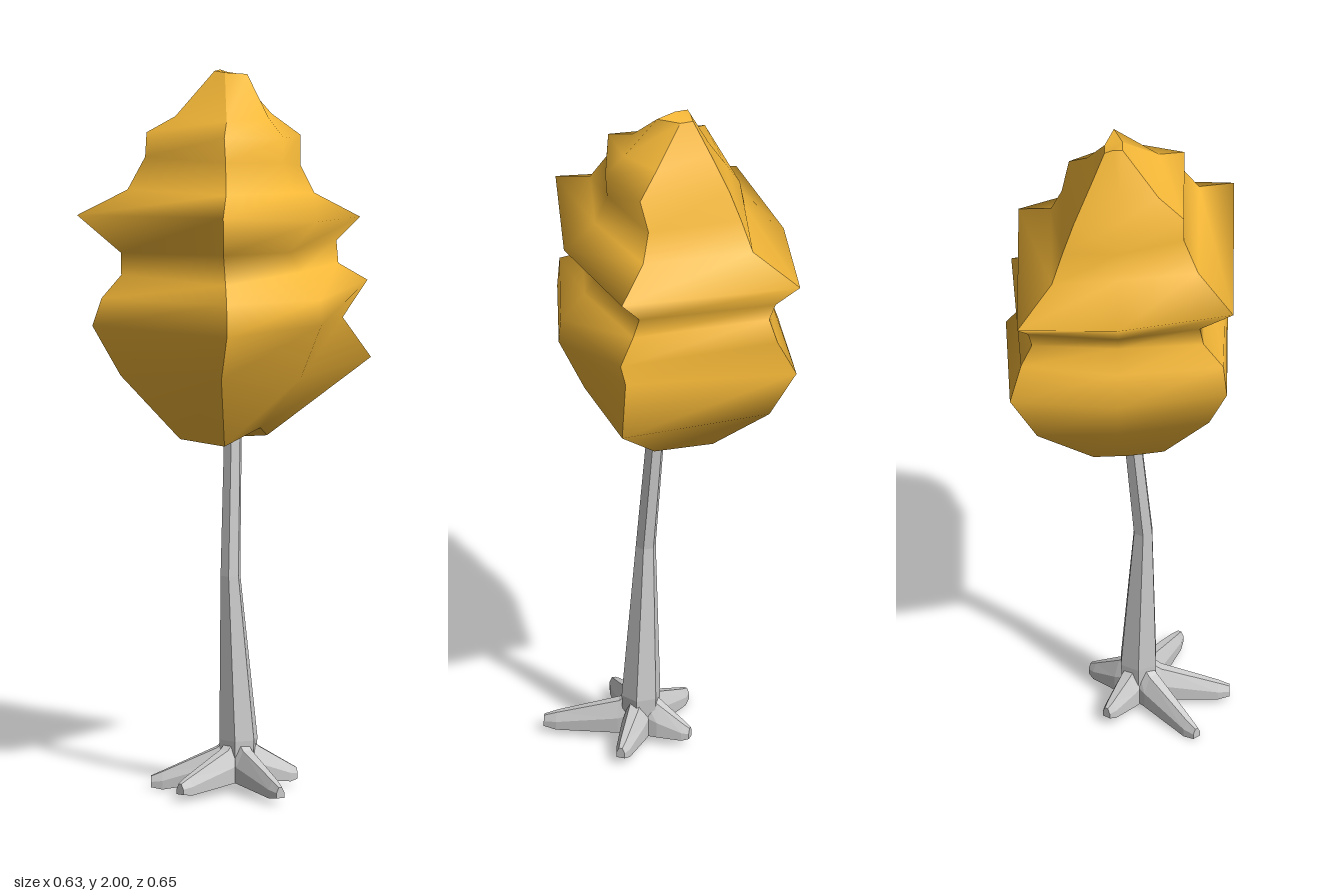
import * as THREE from 'three';
import { mergeGeometries } from 'three/addons/utils/BufferGeometryUtils.js';

// Grid of points: columns run left to right seen from outside, each from bottom to top
function strip(columns) {
  const rows = columns[0].length, index = [];
  for (let c = 0; c < columns.length - 1; c++) {
    for (let r = 0; r < rows - 1; r++) {
      const a = c * rows + r, b = a + rows;
      index.push(a, b, b + 1, a, b + 1, a + 1);
    }
  }
  return surface(columns.flat(), index);
}

// Flat fan over a ring that runs counter-clockwise seen from its front
function cap(ring) {
  const index = [];
  for (let i = 1; i < ring.length - 1; i++) index.push(0, i, i + 1);
  return surface(ring, index);
}

function surface(points, index) {
  const g = new THREE.BufferGeometry();
  g.setAttribute('position', new THREE.Float32BufferAttribute(points.flat(), 3));
  g.setIndex(index);
  g.computeVertexNormals();
  return g;
}

// Closed skin through rings ordered from bottom to top (or base to tip)
function loft(rings) {
  const columns = rings[0].map((_, i) => rings.map((ring) => ring[i]));
  return mergeGeometries([
    strip([...columns, columns[0]]),
    cap([...rings[0]].reverse()),
    cap(rings[rings.length - 1]),
  ]);
}

function part(name, geometry, material) {
  const mesh = new THREE.Mesh(geometry, material);
  mesh.name = name;
  return mesh;
}

function createCrown(material) {
  // Four corner edges as [x, y, z], bottom to top, each with its own tilt
  const frontRight = [[-0.125, 0.975, 0.08], [-0.27, 1.2, 0.19], [-0.3, 1.33, 0.235], [-0.295, 1.42, 0.23],
    [-0.24, 1.46, 0.18], [-0.225, 1.54, 0.16], [-0.316, 1.67, 0.235], [-0.22, 1.71, 0.165],
    [-0.18, 1.79, 0.13], [-0.18, 1.86, 0.125], [-0.11, 1.89, 0.075], [-0.01, 2, -0.015]];
  const frontLeft = [[0.07, 0.975, 0.07], [0.315, 1.18, 0.24], [0.235, 1.3, 0.205], [0.3, 1.4, 0.24],
    [0.24, 1.45, 0.185], [0.25, 1.51, 0.17], [0.28, 1.58, 0.23], [0.19, 1.65, 0.14],
    [0.16, 1.73, 0.115], [0.14, 1.82, 0.133], [0.09, 1.88, 0.07], [0.04, 1.99, -0.015]];
  const backLeft = [[0.07, 0.97, -0.1], [0.225, 1.13, -0.215], [0.3, 1.29, -0.27], [0.27, 1.38, -0.225],
    [0.24, 1.44, -0.21], [0.25, 1.49, -0.225], [0.28, 1.55, -0.287], [0.185, 1.63, -0.18],
    [0.155, 1.72, -0.155], [0.125, 1.8, -0.13], [0.08, 1.9, -0.09], [0.04, 1.99, -0.052]];
  const backRight = [[-0.125, 0.975, -0.08], [-0.25, 1.16, -0.19], [-0.3, 1.3, -0.25], [-0.29, 1.38, -0.225],
    [-0.235, 1.44, -0.2], [-0.225, 1.5, -0.21], [-0.318, 1.61, -0.29], [-0.22, 1.68, -0.19],
    [-0.18, 1.77, -0.16], [-0.18, 1.84, -0.155], [-0.11, 1.88, -0.11], [-0.01, 2, -0.052]];
  // Soft middle ridges as [z, y]
  const front = [[0.13, 1.02], [0.25, 1.17], [0.325, 1.33], [0.32, 1.4], [0.25, 1.47], [0.21, 1.52],
    [0.31, 1.62], [0.22, 1.69], [0.185, 1.77], [0.19, 1.84], [0.135, 1.89], [0.045, 2]];
  const back = [[-0.1, 0.975], [-0.27, 1.18], [-0.31, 1.3], [-0.28, 1.39], [-0.25, 1.46], [-0.26, 1.5],
    [-0.327, 1.58], [-0.215, 1.67], [-0.2, 1.75], [-0.155, 1.82], [-0.11, 1.89], [-0.052, 2]];
  const last = front.length - 1;
  const ridge = (profile) => profile.map(([z, y], i) => [i === 0 ? -0.03 : i === last ? 0.015 : 0, y, z]);
  const frontRidge = ridge(front), backRidge = ridge(back);

  const columns = [frontRight, frontRidge, frontLeft, backLeft, backRidge, backRight];
  const crown = new THREE.Group();
  crown.name = 'crown';
  crown.add(
    part('crownFront', strip([frontRight, frontRidge, frontLeft]), material),
    part('crownLeftSide', strip([frontLeft, backLeft]), material),
    part('crownBack', strip([backLeft, backRidge, backRight]), material),
    part('crownRightSide', strip([backRight, frontRight]), material),
    part('crownTip', cap(columns.map((c) => c[last])), material),
    part('crownUnderside', cap(columns.map((c) => c[0]).reverse()), material),
  );
  return crown;
}

function createTrunk(material) {
  // Bent, tapering hexagonal trunk: x, y, z, radius
  const sections = [[-0.055, 0.03, 0.07, 0.05], [-0.053, 0.14, 0.07, 0.056], [-0.066, 0.6, 0.052, 0.029],
    [-0.033, 0.98, 0.033, 0.026], [-0.028, 1.06, 0.03, 0.024]];
  const rings = sections.map(([x, y, z, r]) => Array.from({ length: 6 }, (_, i) => {
    const a = i * Math.PI / 3;
    return [x + r * Math.sin(a), y, z + r * Math.cos(a)];
  }));
  return part('trunk', loft(rings), material);
}

function createRoots(material) {
  const roots = new THREE.Group();
  roots.name = 'roots';
  const [cx, cz] = [-0.055, 0.07];
  // Tip of each root: x, underside height, z
  const tips = [[-0.165, 0.015, 0.315], [-0.305, 0.015, 0.07], [0.078, 0.015, 0.17],
    [-0.215, 0, -0.11], [0.035, 0.02, -0.045]];
  for (const [x, y, z] of tips) {
    const length = Math.hypot(x - cx, z - cz);
    const dx = (x - cx) / length, dz = (z - cz) / length;
    // Tapering sections: distance, underside, top, half width
    const sections = [[0, 0.025, 0.16, 0.036], [0.06, 0.025, 0.115, 0.034],
      [length * 0.87, y, y + 0.048, 0.02], [length, y + 0.005, y + 0.035, 0.012]];
    const rings = sections.map(([d, low, high, w]) =>
      [[-1, low], [-1, (low + high) / 2], [-0.4, high], [0.4, high], [1, (low + high) / 2], [1, low]]
        .map(([s, h]) => [cx + dx * d - dz * w * s, h, cz + dz * d + dx * w * s]));
    roots.add(part('root', loft(rings), material));
  }
  return roots;
}

export function createModel() {
  const foliage = new THREE.MeshStandardMaterial({ color: 0xf5b838, side: THREE.DoubleSide });
  const wood = new THREE.MeshStandardMaterial({ color: 0xcccccc, flatShading: true, side: THREE.DoubleSide });
  const tree = new THREE.Group();
  tree.name = 'tree';
  tree.add(createCrown(foliage), createTrunk(wood), createRoots(wood));
  return tree;
}
